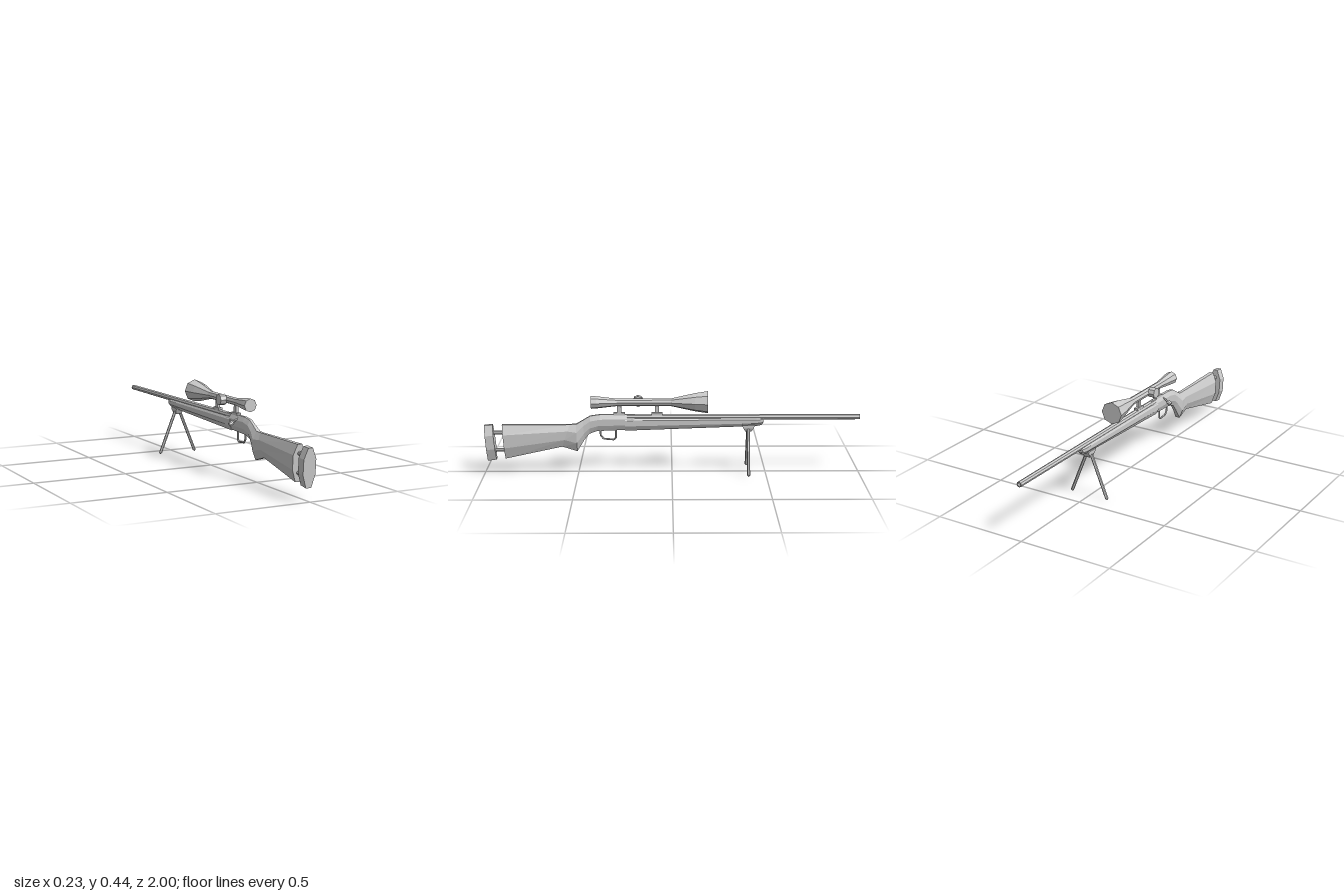
import * as THREE from 'three';

const mat = new THREE.MeshStandardMaterial({ color: 0xcccccc, flatShading: true });

// Half outline of a stock section (side fraction, height fraction), counter-clockwise
const OUTLINE = [[0.42, 0], [1, 0.33], [1, 0.72], [0.36, 1], [-0.36, 1], [-1, 0.72], [-1, 0.33], [-0.42, 0]];

// Loft through stations [topZ, topY, bottomZ, bottomY, halfWidth], running from +z to -z
function loft(stations, outline = OUTLINE) {
  const rings = stations.map(([tz, ty, bz, by, w]) =>
    outline.map(([u, v]) => [u * w, by + (ty - by) * v, bz + (tz - bz) * v]));
  const n = outline.length, pos = [];
  const tri = (...pts) => pts.forEach((p) => pos.push(...p));
  for (let i = 0; i < rings.length - 1; i++) {
    for (let j = 0; j < n; j++) {
      const k = (j + 1) % n, a = rings[i], b = rings[i + 1];
      tri(a[j], b[j], b[k]);
      tri(a[j], b[k], a[k]);
    }
  }
  const first = rings[0], last = rings[rings.length - 1];
  for (let j = 1; j < n - 1; j++) {
    tri(first[0], first[j], first[j + 1]);
    tri(last[0], last[j + 1], last[j]);
  }
  const g = new THREE.BufferGeometry();
  g.setAttribute('position', new THREE.Float32BufferAttribute(pos, 3));
  g.computeVertexNormals();
  return g;
}

// Turned part along z; points are [radius, z] with z rising on the outside
function turned(points, y, sides = 8) {
  const g = new THREE.LatheGeometry(points.map(([r, z]) => new THREE.Vector2(r, z)), sides);
  return g.rotateX(Math.PI / 2).translate(0, y, 0);
}

// Straight rod between two points
function rod(a, b, r, sides = 6) {
  const from = new THREE.Vector3(...a), to = new THREE.Vector3(...b);
  const dir = to.clone().sub(from);
  const g = new THREE.CylinderGeometry(r, r, dir.length(), sides);
  g.applyQuaternion(new THREE.Quaternion().setFromUnitVectors(new THREE.Vector3(0, 1, 0), dir.normalize()));
  const mid = from.add(to).multiplyScalar(0.5);
  return g.translate(mid.x, mid.y, mid.z);
}

function box(w, h, d, x, y, z) {
  return new THREE.BoxGeometry(w, h, d).translate(x, y, z);
}

export function createModel() {
  const model = new THREE.Group();
  model.name = 'rifle';
  const add = (name, geometry, parent = model) => {
    const mesh = new THREE.Mesh(geometry, mat);
    mesh.name = name;
    parent.add(mesh);
    return mesh;
  };
  const group = (name) => {
    const g = new THREE.Group();
    g.name = name;
    model.add(g);
    return g;
  };

  // Stock: butt, grip and receiver in one sweep
  add('stock', loft([
    [0.905, 0.265, 0.89, 0.08, 0.034],
    [0.545, 0.265, 0.585, 0.145, 0.024],
    [0.51, 0.267, 0.505, 0.12, 0.031],
    [0.475, 0.288, 0.465, 0.185, 0.022],
    [0.435, 0.312, 0.44, 0.215, 0.02],
    [0.38, 0.32, 0.4, 0.23, 0.02],
    [0.25, 0.32, 0.25, 0.236, 0.02],
    [0.2, 0.32, 0.2, 0.24, 0.019],
  ]));

  // Fore-end, a little proud of the receiver
  add('foreEnd', loft([
    [0.25, 0.312, 0.25, 0.232, 0.0225],
    [-0.45, 0.308, -0.45, 0.257, 0.0215],
    [-0.475, 0.306, -0.475, 0.262, 0.02],
    [-0.487, 0.3, -0.487, 0.275, 0.015],
  ]));

  // Butt pad on two struts
  add('buttPad', loft([
    [1.0, 0.262, 0.985, 0.068, 0.034],
    [0.955, 0.265, 0.938, 0.075, 0.034],
  ]));
  for (const y of [0.22, 0.125]) add('buttStrut', rod([0, y, 0.96], [0, y, 0.88], 0.011, 8));

  // Barrel with an open bore
  add('barrel', turned([
    [0, -0.96], [0.009, -0.96], [0.009, -1], [0.0145, -1], [0.0155, -0.5], [0.0165, 0.24], [0, 0.24],
  ].map((p) => p), 0.305));

  // Scope: flared objective, tube and eyepiece
  const scope = group('scope');
  add('scopeBody', turned([
    [0, -0.19], [0.06, -0.19], [0.049, -0.12], [0.021, 0.005], [0.02, 0.29],
    [0.033, 0.4], [0.035, 0.43], [0, 0.43],
  ], 0.385), scope);
  add('scopeKnob', rod([-0.05, 0.385, 0.18], [-0.015, 0.385, 0.18], 0.029, 8), scope);
  for (const z of [0.28, 0.08]) {
    add('scopePost', box(0.016, 0.06, 0.022, 0, 0.345, z), scope);
    add('scopeFoot', box(0.022, 0.014, 0.06, 0, 0.323, z), scope);
  }

  // Bolt handle with its knob
  const bolt = group('bolt');
  add('boltArm', rod([-0.01, 0.307, 0.32], [-0.05, 0.281, 0.32], 0.005), bolt);
  add('boltKnob', rod([-0.041, 0.287, 0.32], [-0.06, 0.275, 0.32], 0.012, 8), bolt);

  // Trigger guard: a thin bent strap
  const strap = [[0.238, 0.382], [0.205, 0.38], [0.186, 0.365], [0.181, 0.31], [0.19, 0.3], [0.24, 0.298]];
  const guard = group('triggerGuard');
  for (let i = 0; i < strap.length - 1; i++) {
    const [y0, z0] = strap[i], [y1, z1] = strap[i + 1];
    add('guardBar', rod([0, y0, z0], [0, y1, z1], 0.005), guard);
  }

  // Bipod: tapered mount and two splayed legs
  const bipod = group('bipod');
  add('bipodMount', loft([
    [-0.372, 0.262, -0.39, 0.228, 0.021],
    [-0.442, 0.262, -0.424, 0.228, 0.021],
  ], [[0.7, 0], [1, 0.5], [1, 1], [-1, 1], [-1, 0.5], [-0.7, 0]]), bipod);
  for (const s of [1, -1]) {
    add(s > 0 ? 'leftLeg' : 'rightLeg', rod([s * 0.012, 0.245, -0.406], [s * 0.106, 0.012, -0.406], 0.0085), bipod);
    add('legTip', new THREE.ConeGeometry(0.0085, 0.008, 6).rotateX(Math.PI)
      .rotateZ(s * 0.385).translate(s * 0.1075, 0.008, -0.406), bipod);
  }

  return model;
}
